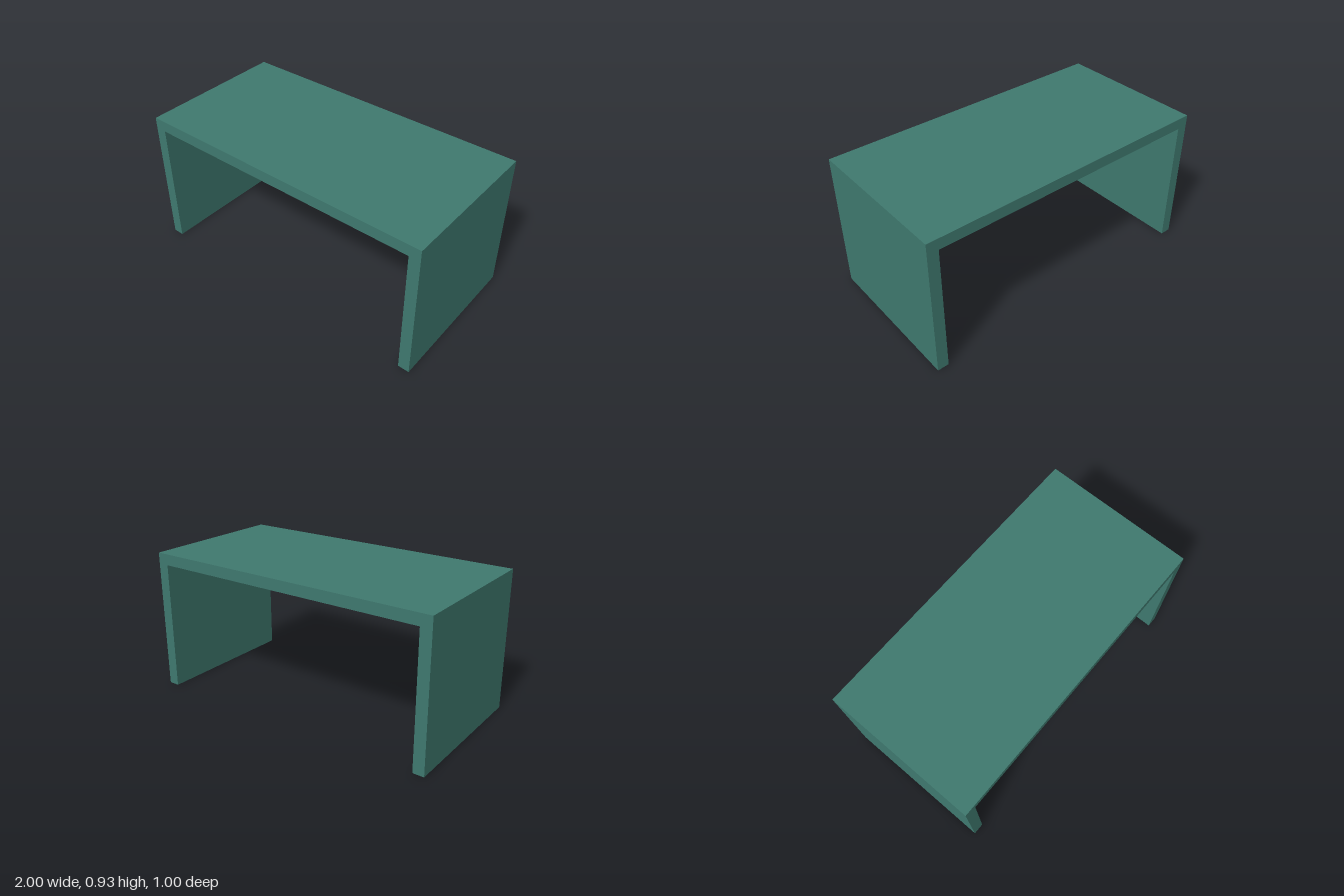
import * as THREE from 'three';

const WIDTH = 2, HEIGHT = 0.93, DEPTH = 1, THICKNESS = 0.073;

export function createModel() {
  const group = new THREE.Group();
  group.name = 'table';

  // One continuous slab: two side panels joined by the top
  const outer = WIDTH / 2, inner = outer - THICKNESS, under = HEIGHT - THICKNESS;
  const profile = new THREE.Shape([
    [-outer, 0], [-inner, 0], [-inner, under], [inner, under],
    [inner, 0], [outer, 0], [outer, HEIGHT], [-outer, HEIGHT],
  ].map(([x, y]) => new THREE.Vector2(x, y)));

  const geometry = new THREE.ExtrudeGeometry(profile, { depth: DEPTH, bevelEnabled: false });
  geometry.translate(0, 0, -DEPTH / 2);

  const frame = new THREE.Mesh(geometry, new THREE.MeshStandardMaterial({ color: 0x3f796f }));
  frame.name = 'tableTopAndSidePanels';
  group.add(frame);
  return group;
}
